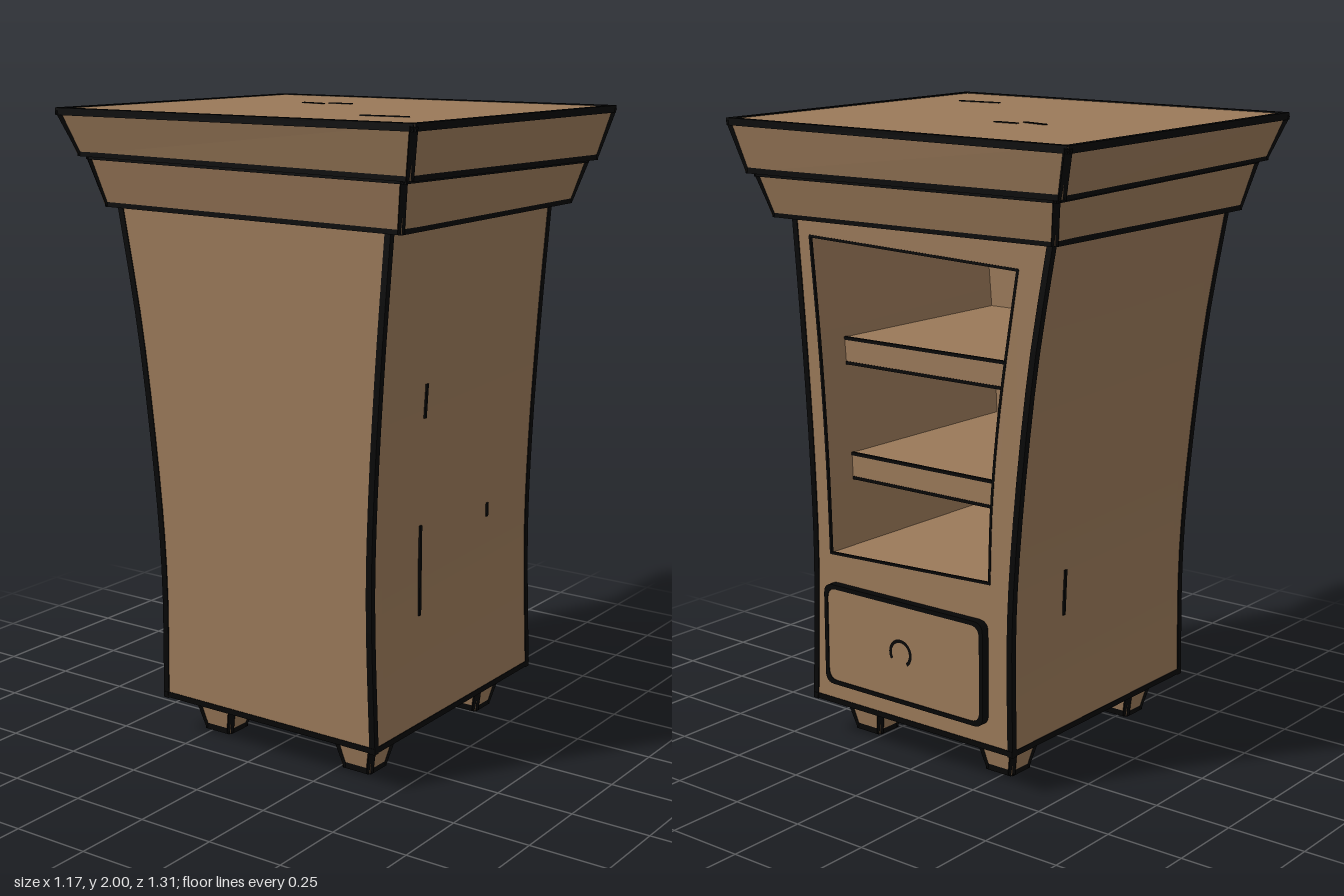
import * as THREE from 'three';
import { toCreasedNormals } from 'three/addons/utils/BufferGeometryUtils.js';

const wood = new THREE.MeshStandardMaterial({ color: 0x9a7959 });
wood.name = 'brown wood';
const ink = new THREE.MeshStandardMaterial({ color: 0x060606 });
ink.name = 'black edging';

const V = (x, y, z) => new THREE.Vector3(x, y, z);

// Smooth curve through [z, y] points, sampled from bottom to top
const curve = (pts) =>
  new THREE.SplineCurve(pts.map(([z, y]) => new THREE.Vector2(z, y))).getPoints(14);

// z of a sampled curve at height y
function zAt(pts, y) {
  let i = 0;
  while (i < pts.length - 2 && pts[i + 1].y < y) i++;
  const a = pts[i], b = pts[i + 1];
  return a.x + (b.x - a.x) * (y - a.y) / (b.y - a.y);
}

// Body silhouette: concave front (+z) and back (-z)
const frontSide = curve([[0.445, 0.12], [0.43, 0.55], [0.437, 0.9], [0.46, 1.3], [0.49, 1.69]]);
const backSide = curve([[-0.367, 0.12], [-0.364, 0.5], [-0.387, 0.85], [-0.44, 1.3], [-0.51, 1.69]]);
// Shelf opening edges
const openFront = curve([[0.36, 0.62], [0.368, 0.9], [0.388, 1.25], [0.42, 1.62]]);
const openBack = curve([[-0.28, 0.645], [-0.29, 0.9], [-0.322, 1.2], [-0.385, 1.59]]);

const ringOf = (a, b) => [...a, ...[...b].reverse()];
const flip = (pts) => pts.map((p) => new THREE.Vector2(-p.x, p.y));

function mesh(name, geometry, material, parent) {
  const m = new THREE.Mesh(geometry, material);
  m.name = name;
  parent.add(m);
  return m;
}

// Extrude a z-y shape along x between x0 and x1
function slab(name, shape, x0, x1, material, parent) {
  const g = new THREE.ExtrudeGeometry(shape, { depth: x1 - x0, bevelEnabled: false, curveSegments: 6 });
  g.rotateY(Math.PI / 2).translate(x0, 0, 0);
  return mesh(name, toCreasedNormals(g, 0.5), material, parent);
}

// Straight dark strip from p to q
function bar(name, p, q, w, parent) {
  const m = mesh(name, new THREE.BoxGeometry(w, w, p.distanceTo(q) + w * 0.5), ink, parent);
  m.position.copy(p).add(q).multiplyScalar(0.5);
  m.lookAt(q);
}

function barPath(name, pts, w, parent, closed = false) {
  for (let i = 0; i < pts.length - (closed ? 0 : 1); i++) {
    bar(name, pts[i], pts[(i + 1) % pts.length], w, parent);
  }
}

// Four-sided tapered block with dark edges
function block(name, bottom, top, w, parent) {
  const group = new THREE.Group();
  group.name = name;
  parent.add(group);
  const c = [...bottom, ...top];
  const idx = [0, 2, 1, 0, 3, 2, 4, 5, 6, 4, 6, 7];
  for (let i = 0; i < 4; i++) {
    const j = (i + 1) % 4;
    idx.push(i, j, j + 4, i, j + 4, i + 4);
  }
  const g = new THREE.BufferGeometry().setFromPoints(idx.map((i) => c[i]));
  g.computeVertexNormals();
  mesh(name + 'Wood', g, wood, group);
  // Sink the strips so that they stand only slightly proud
  const mid = c.reduce((s, p) => s.add(p), V(0, 0, 0)).multiplyScalar(1 / 8);
  const e = c.map((p) => V(
    p.x - Math.sign(p.x - mid.x) * w * 0.35,
    p.y - Math.sign(p.y - mid.y) * w * 0.35,
    p.z - Math.sign(p.z - mid.z) * w * 0.35));
  barPath(name + 'Edge', e.slice(0, 4), w, group, true);
  barPath(name + 'Edge', e.slice(4), w, group, true);
  for (let i = 0; i < 4; i++) bar(name + 'Edge', e[i], e[i + 4], w, group);
}

// Corner ring, anticlockwise from above; left/right heights may differ, the back may drop
const ring = (x0, x1, zb, zf, yl, yr, drop = 0) =>
  [V(x0, yl, zf), V(x1, yr, zf), V(x1, yr - drop, zb), V(x0, yl - drop, zb)];

// Drawer panel outline, inset by d
function drawerShape(d) {
  const l = -0.368 + d, r = 0.275 - d, b = 0.195 + d, t = 0.527 - d, k = 0.035;
  const s = new THREE.Shape();
  s.moveTo(l + k, b);
  s.lineTo(r - k, b).quadraticCurveTo(r, b, r, b + k);
  s.lineTo(r, t - k).quadraticCurveTo(r, t, r - k, t);
  s.lineTo(l + k, t).quadraticCurveTo(l, t, l, t - k);
  s.lineTo(l, b + k).quadraticCurveTo(l, b, l + k, b);
  return s;
}

export function createModel() {
  const model = new THREE.Group();
  model.name = 'cabinet';
  const X0 = -0.457, X1 = 0.455;

  // Hollow body and closed rear panel; the hole winds against the outline
  const outline = flip(ringOf(frontSide, backSide));
  const frame = new THREE.Shape(outline);
  frame.holes.push(new THREE.Path(flip(ringOf(openFront, openBack)).reverse()));
  slab('body', frame, -0.4, X1, wood, model);
  slab('rearPanel', new THREE.Shape(outline), X0, -0.4, wood, model);

  // Dark body edges
  const edging = new THREE.Group();
  edging.name = 'bodyEdging';
  model.add(edging);
  for (const x of [X0 + 0.007, X1 - 0.007]) {
    for (const [side, s] of [[frontSide, -1], [backSide, 1]]) {
      barPath('cornerEdge', side.map((p) => V(x, p.y, p.x + s * 0.007)), 0.02, edging);
    }
    bar('bottomEdge', V(x, 0.126, 0.438), V(x, 0.126, -0.36), 0.018, edging);
  }
  for (const z of [0.438, -0.36]) bar('bottomEdge', V(X0, 0.126, z), V(X1, 0.126, z), 0.018, edging);
  barPath('openingEdge', ringOf(openFront, openBack).map((p) => V(X1 - 0.002, p.y, p.x)), 0.008, edging, true);

  // Shelves
  for (const y of [0.88, 1.25]) {
    const zf = zAt(openFront, y) + 0.012, zb = zAt(openBack, y) - 0.012;
    const shelf = mesh('shelf', new THREE.BoxGeometry(0.75, 0.084, zf - zb), wood, model);
    shelf.position.set(-0.035, y, (zf + zb) / 2);
    for (const s of [-1, 1]) {
      bar('shelfEdge', V(0.337, y + s * 0.039, zf - 0.01), V(0.337, y + s * 0.039, zb + 0.01), 0.01, model);
    }
  }

  // Drawer with dark rim and round pull mark
  slab('drawer', drawerShape(0.012), X1 - 0.02, 0.48, wood, model);
  const rim = drawerShape(0);
  rim.holes.push(drawerShape(0.014));
  slab('drawerRim', rim, X1 - 0.02, 0.483, ink, model);
  const pull = mesh('drawerPull', new THREE.RingGeometry(0.035, 0.046, 16, 1, -0.9, 4.6), ink, model);
  pull.rotation.y = Math.PI / 2;
  pull.position.set(0.483, 0.36, 0.05);

  // Two-tier crown
  block('lowerCrown', ring(-0.485, 0.488, -0.54, 0.545, 1.685, 1.675),
    ring(-0.525, 0.527, -0.575, 0.58, 1.845, 1.815), 0.02, model);
  block('upperCrown', ring(-0.535, 0.538, -0.6, 0.605, 1.84, 1.81),
    ring(-0.579, 0.573, -0.645, 0.645, 1.995, 1.972, 0.015), 0.022, model);

  // Tapered feet
  for (const x of [-0.315, 0.303]) {
    for (const z of [0.312, -0.23]) {
      block('foot', ring(x - 0.045, x + 0.045, z - 0.05, z + 0.05, 0, 0),
        ring(x - 0.07, x + 0.07, z - 0.08, z + 0.08, 0.13, 0.13), 0.021, model);
    }
  }

  // Fine scratches on the curved front and back
  const sideMarks = [
    [frontSide, -0.2, 0.48, 0.76],
    [frontSide, -0.205, 1.1, 1.2],
    [frontSide, 0.19, 0.7, 0.74],
    [backSide, 0.2, 0.5, 0.64],
  ];
  for (const [side, x, y0, y1] of sideMarks) {
    bar('sideScratch', V(x, y0, zAt(side, y0)), V(x, y1, zAt(side, y1)), 0.01, model);
  }

  // Scratches on the top
  const topMarks = [
    [[0.15, -0.25], [0.13, -0.16]],
    [[0.17, -0.16], [0.17, -0.08]],
    [[-0.325, 0.3], [-0.31, 0.45]],
  ];
  const topY = (x, z) => 1.995 - 0.02 * (x + 0.579) - 0.0116 * (0.645 - z);
  for (const path of topMarks) {
    barPath('topScratch', path.map(([x, z]) => V(x, topY(x, z) - 0.003, z)), 0.012, model);
  }
  return model;
}
